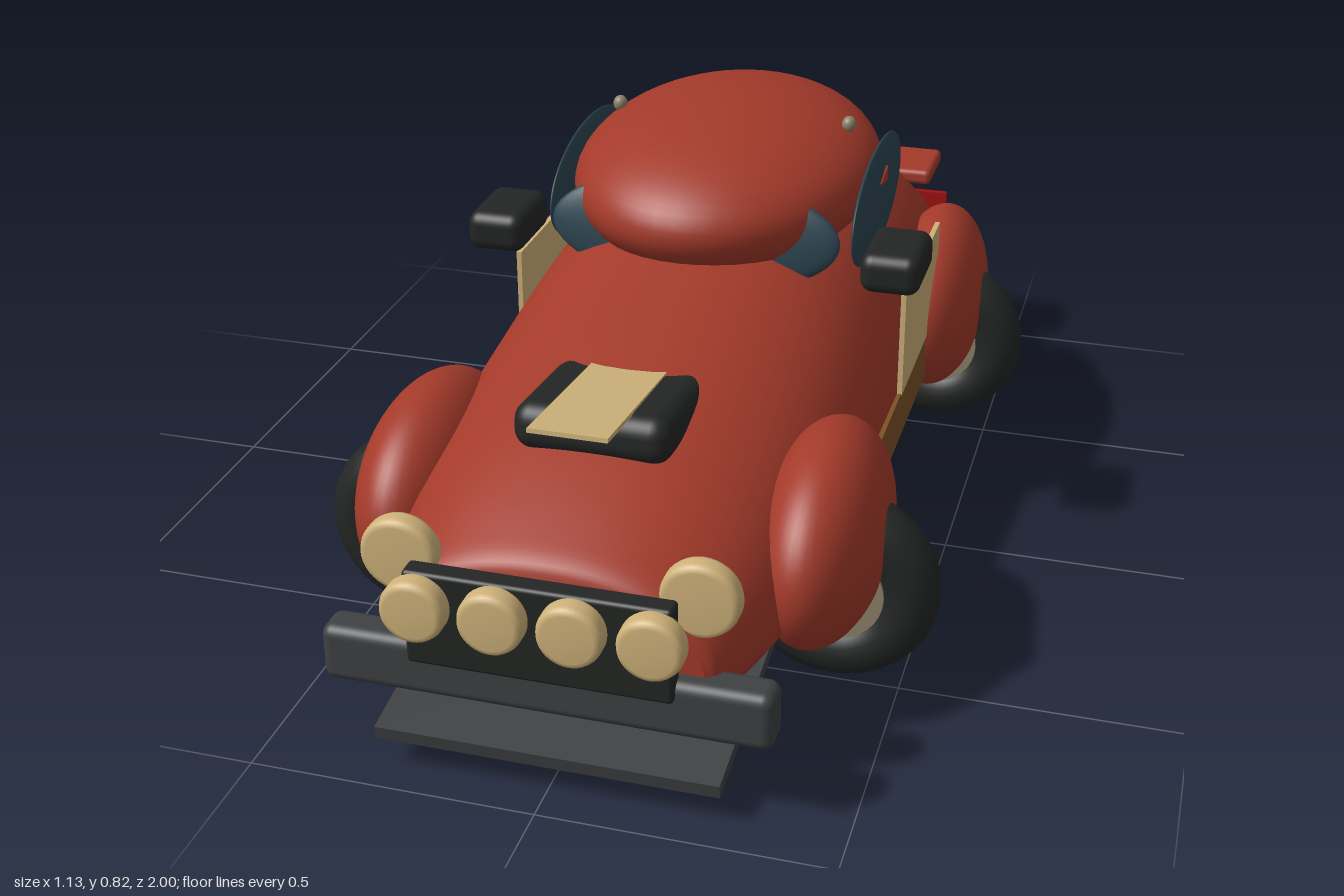
import * as THREE from 'three';
import { RoundedBoxGeometry } from 'three/addons/geometries/RoundedBoxGeometry.js';

const mat = (color) => new THREE.MeshStandardMaterial({ color });
const red = mat(0xa33a2a), black = mat(0x232624), grey = mat(0x3e4042), tan = mat(0xcfb27a);
const brown = mat(0x7d5228), glass = mat(0x2c4450), lampRed = mat(0x9c1212), rim = mat(0x8c8068);

export function createModel() {
  const car = new THREE.Group();
  car.name = 'car';

  const add = (name, geometry, material, x, y, z) => {
    const mesh = new THREE.Mesh(geometry, material);
    mesh.name = name;
    mesh.position.set(x, y, z);
    car.add(mesh);
    return mesh;
  };
  const box = (name, material, w, h, d, x, y, z) =>
    add(name, new THREE.BoxGeometry(w, h, d), material, x, y, z);
  const rounded = (name, material, w, h, d, r, x, y, z) =>
    add(name, new RoundedBoxGeometry(w, h, d, 4, r), material, x, y, z);
  const ellipsoid = (name, material, rx, ry, rz, x, y, z) => {
    const mesh = add(name, new THREE.SphereGeometry(1, 48, 32), material, x, y, z);
    mesh.scale.set(rx, ry, rz);
    return mesh;
  };
  // cylinder lying along z
  const rod = (name, material, r, length, x, y, z) =>
    add(name, new THREE.CylinderGeometry(r, r, length, 32).rotateX(Math.PI / 2), material, x, y, z);

  // round-shouldered lamp turned about z
  const lamp = (name, r, depth, x, y, z) => {
    const h = depth / 2, e = 0.012;
    const profile = [[0, -h], [r - e, -h], [r - 0.003, -h + 0.004], [r, -h + e],
      [r, h - e], [r - 0.003, h - 0.004], [r - e, h], [0, h]];
    const points = profile.map(([a, b]) => new THREE.Vector2(a, b));
    add(name, new THREE.LatheGeometry(points, 40).rotateX(Math.PI / 2), tan, x, y, z);
  };

  // body shell and cabin
  add('body', bodyGeometry(), red, 0, 0, 0);
  ellipsoid('roof', red, 0.295, 0.15, 0.405, 0, 0.67, -0.215);
  ellipsoid('windscreen', glass, 0.28, 0.11, 0.03, 0, 0.635, 0.05).rotation.x = -0.2;
  ellipsoid('rearWindow', glass, 0.25, 0.08, 0.025, 0, 0.62, -0.49).rotation.x = 0.2;

  // bonnet scoop and stripe
  rounded('bonnetScoop', black, 0.275, 0.085, 0.29, 0.035, 0, 0.51, 0.545).rotation.x = -0.11;
  box('bonnetStripe', tan, 0.136, 0.008, 0.39, 0, 0.559, 0.595).rotation.x = -0.12;

  // nose
  rounded('grille', black, 0.445, 0.172, 0.04, 0.008, 0, 0.314, 0.942);
  rounded('frontBumper', grey, 0.76, 0.103, 0.07, 0.02, 0, 0.208, 0.915);
  box('frontSplitter', grey, 0.59, 0.025, 0.45, 0, 0.1, 0.725).rotation.x = 0.15;

  // tail
  rounded('rearBumper', grey, 0.71, 0.1, 0.07, 0.02, 0, 0.21, -0.958);
  box('tailPanel', brown, 0.5, 0.07, 0.03, 0, 0.262, -0.965);
  rounded('spoiler', red, 0.62, 0.034, 0.155, 0.012, 0, 0.458, -0.868);

  for (const s of [1, -1]) {
    // wings
    ellipsoid('frontWing', red, 0.113, 0.185, 0.252, s * 0.36, 0.295, 0.488);
    ellipsoid('rearWing', red, 0.103, 0.188, 0.234, s * 0.377, 0.293, -0.548);

    // wheels with their axis along z
    for (const z of [0.487, -0.543]) {
      add('tyre', new THREE.TorusGeometry(0.127, 0.055, 20, 48), black, s * 0.382, 0.197, z);
      rod('hub', rim, 0.09, 0.09, s * 0.382, 0.197, z);
    }

    // lamps
    lamp('headlight', 0.066, 0.042, s * 0.25, 0.39, 0.893);
    for (const x of [0.065, 0.195]) lamp('fogLamp', 0.055, 0.045, s * x, 0.345, 0.977);
    box('tailLight', lampRed, 0.14, 0.07, 0.015, s * 0.25, 0.315, -0.992);

    // sides
    ellipsoid('sideWindow', glass, 0.014, 0.11, 0.24, s * 0.296, 0.632, -0.22);
    const mark = add('windowMark', new THREE.CylinderGeometry(0.018, 0.018, 0.006, 3).rotateZ(Math.PI / 2),
      red, s * 0.309, 0.676, -0.22);
    mark.scale.z = 2.4;
    box('doorPanel', tan, 0.01, 0.212, 0.38, s * 0.388, 0.404, -0.23);
    box('sideSkirt', brown, 0.02, 0.1, 0.74, s * 0.381, 0.25, -0.04);
    rounded('mirror', black, 0.112, 0.077, 0.168, 0.025, s * 0.382, 0.607, 0.022);
    ellipsoid('roofStud', rim, 0.014, 0.016, 0.015, s * 0.233, 0.772, -0.235);

    // underside
    rod('exhaust', grey, 0.022, 0.45, s * 0.33, 0.11, -0.425);
    box('mudFlap', black, 0.2, 0.235, 0.02, s * 0.34, 0.118, -0.775);
  }
  return car;
}

// body lofted from domed sections with a flattened underside
function bodyGeometry() {
  // z, half width, top height
  const stations = [[0.918, 0.262, 0.385], [0.905, 0.28, 0.412], [0.84, 0.305, 0.443], [0.68, 0.345, 0.498],
    [0.46, 0.372, 0.552], [0.22, 0.383, 0.603], [0, 0.385, 0.648], [-0.3, 0.385, 0.67], [-0.61, 0.375, 0.632],
    [-0.77, 0.348, 0.55], [-0.9, 0.32, 0.472], [-0.942, 0.307, 0.448], [-0.955, 0.293, 0.425]];
  const curve = new THREE.CatmullRomCurve3(stations.map(([z, w, t]) => new THREE.Vector3(w, t, z)), false, 'centripetal');
  const rings = 60, n = 64, mid = 0.25, positions = [], index = [];
  const power = (v, e) => Math.sign(v) * Math.abs(v) ** e;
  const pushRing = ({ x: w, y: top, z }) => {
    for (let j = 0; j < n; j++) {
      const a = (j / n) * Math.PI * 2, c = Math.cos(a), s = Math.sin(a);
      const e = s >= 0 ? 2 / 2.15 : 2 / 3.2;
      positions.push(w * power(c, e), mid + (s >= 0 ? top - mid : 0.088) * power(s, e), z);
    }
  };
  for (let i = 0; i <= rings; i++) pushRing(curve.getPoint(i / rings));
  for (let i = 0; i < rings; i++) {
    for (let j = 0; j < n; j++) {
      const k = (j + 1) % n, a = i * n + j, b = i * n + k, c = a + n, d = b + n;
      index.push(a, c, b, b, c, d);
    }
  }
  // flat ends
  for (const end of [0, 1]) {
    const p = curve.getPoint(end), start = positions.length / 3;
    pushRing(p);
    positions.push(0, mid, p.z);
    for (let j = 0; j < n; j++) {
      const a = start + j, b = start + ((j + 1) % n);
      index.push(start + n, end ? b : a, end ? a : b);
    }
  }
  const geometry = new THREE.BufferGeometry();
  geometry.setAttribute('position', new THREE.Float32BufferAttribute(positions, 3));
  geometry.setIndex(index);
  geometry.computeVertexNormals();
  return geometry;
}
